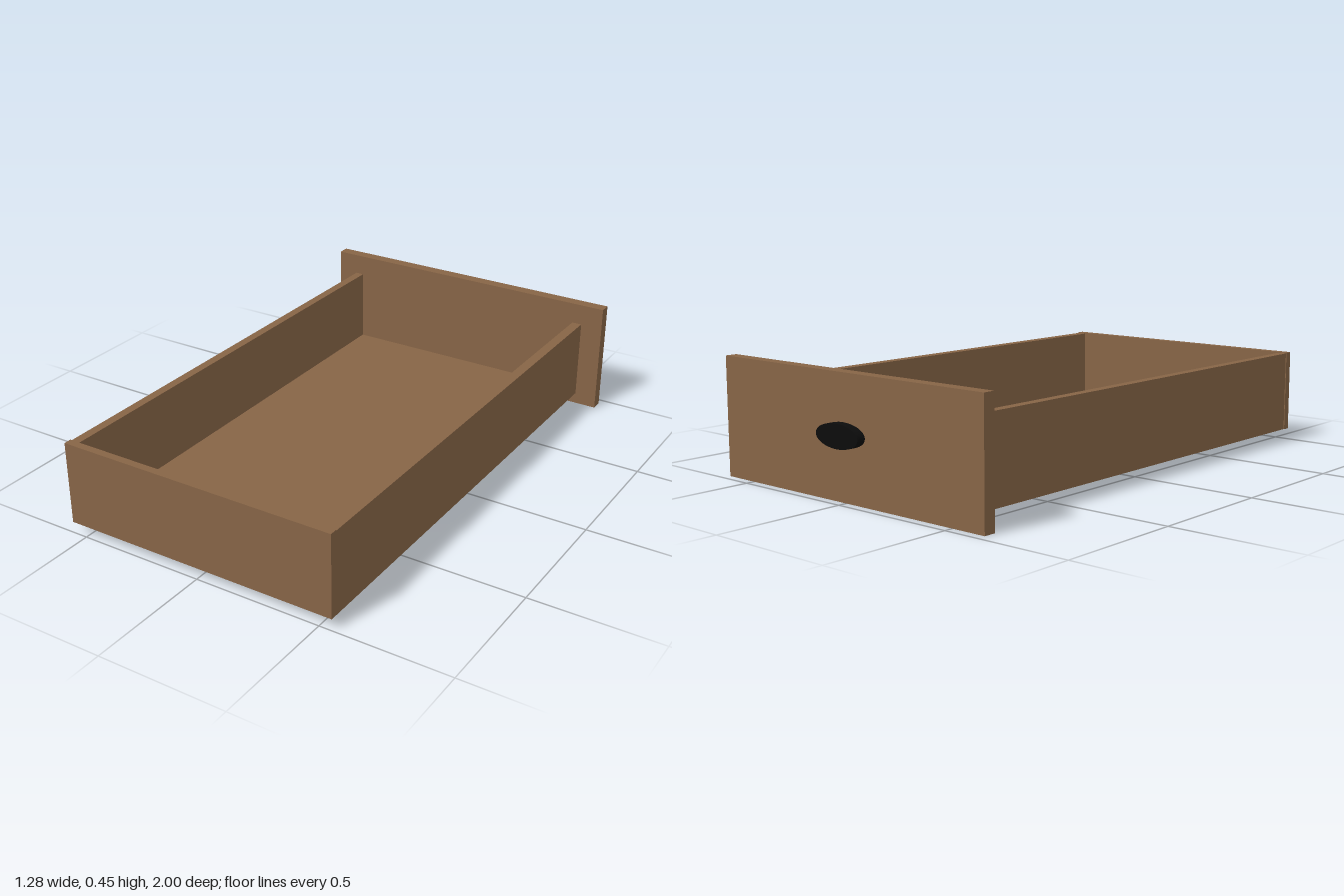
import * as THREE from 'three';

export function createModel() {
  const model = new THREE.Group();
  model.name = 'drawer';

  const wood = new THREE.MeshStandardMaterial({ color: 0x866446 });
  wood.name = 'brown wood';
  const black = new THREE.MeshStandardMaterial({ color: 0x0c0c0c });
  black.name = 'black';

  // Board given by its lower and upper corners
  function board(name, [x0, y0, z0], [x1, y1, z1]) {
    const mesh = new THREE.Mesh(new THREE.BoxGeometry(x1 - x0, y1 - y0, z1 - z0), wood);
    mesh.position.set((x0 + x1) / 2, (y0 + y1) / 2, (z0 + z1) / 2);
    mesh.name = name;
    model.add(mesh);
  }

  // Tray
  board('floor', [-0.52, 0.045, -0.92], [0.51, 0.065, 0.97]);
  board('rightSide', [-0.555, 0.045, -0.92], [-0.52, 0.365, 0.97]);
  board('leftSide', [0.51, 0.045, -0.92], [0.55, 0.365, 0.97]);
  board('endBoard', [-0.558, 0.045, 0.97], [0.55, 0.368, 1]);

  // Overhanging face panel
  board('facePanel', [-0.64, 0, -0.967], [0.64, 0.45, -0.92]);

  // Flat oval pull on the panel
  const pullShape = new THREE.CylinderGeometry(1, 1, 0.035, 32);
  pullShape.rotateX(Math.PI / 2).scale(0.105, 0.044, 1);
  const pull = new THREE.Mesh(pullShape, black);
  pull.position.set(0.004, 0.236, -0.9825);
  pull.name = 'pull';
  model.add(pull);

  return model;
}
